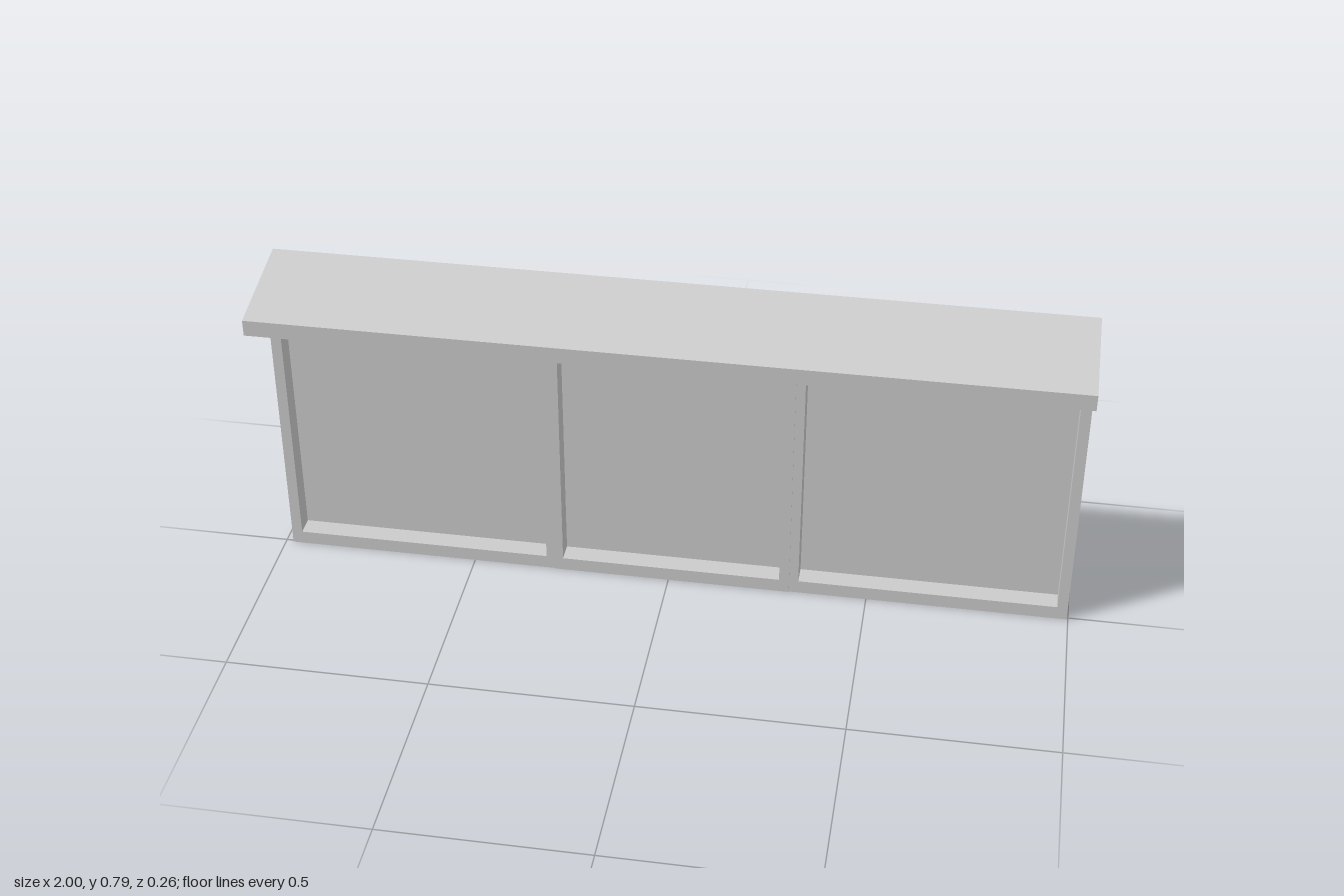
import * as THREE from 'three';

const material = new THREE.MeshStandardMaterial({ color: 0xcccccc, flatShading: true });
const DEPTH = 0.133;
// Underside of the sloping roof at depth z
const roofUnderside = (z) => 0.7 + (0.13 - z) * 0.185;

function rectangle(Type, x0, x1, y0, y1) {
  return new Type([[x0, y0], [x1, y0], [x1, y1], [x0, y1]].map(([x, y]) => new THREE.Vector2(x, y)));
}

// One bay: a frame whose top follows the roof slope, with a thin infill panel
function createBay(name, [x0, x1], [open0, open1], zBack) {
  const bay = new THREE.Group();
  bay.name = name;

  const outline = rectangle(THREE.Shape, x0, x1, 0, 1);
  outline.holes.push(rectangle(THREE.Path, open0, open1, 0.035, 0.714));
  const geometry = new THREE.ExtrudeGeometry(outline, { depth: DEPTH, bevelEnabled: false });
  geometry.translate(0, 0, zBack);
  const p = geometry.attributes.position;
  for (let i = 0; i < p.count; i++) {
    if (p.getY(i) > 0.9) p.setY(i, roofUnderside(p.getZ(i)));
  }
  geometry.computeVertexNormals();
  const frame = new THREE.Mesh(geometry, material);
  frame.name = 'frame';

  const panel = new THREE.Mesh(new THREE.BoxGeometry(open1 - open0, 0.679, 0.005), material);
  panel.name = 'panel';
  panel.position.set((open0 + open1) / 2, 0.3745, zBack + 0.08);

  bay.add(frame, panel);
  return bay;
}

// Sloping roof slab with upright front and back edges
function createRoof() {
  const profile = new THREE.Shape([[0.13, 0.7], [0.13, 0.741], [-0.13, 0.79], [-0.13, 0.748]]
    .map(([z, y]) => new THREE.Vector2(-z, y)));
  const geometry = new THREE.ExtrudeGeometry(profile, { depth: 2, bevelEnabled: false });
  geometry.translate(0, 0, -1);
  geometry.rotateY(Math.PI / 2);
  const roof = new THREE.Mesh(geometry, material);
  roof.name = 'roof';
  return roof;
}

export function createModel() {
  const model = new THREE.Group();
  model.name = 'panelledWall';
  model.add(
    createBay('rightBay', [-0.981, -0.291], [-0.955, -0.313], -0.127),
    createBay('middleBay', [-0.291, 0.306], [-0.27, 0.281], -0.125),
    createBay('leftBay', [0.306, 0.997], [0.329, 0.971], -0.127),
    createRoof(),
  );
  return model;
}
